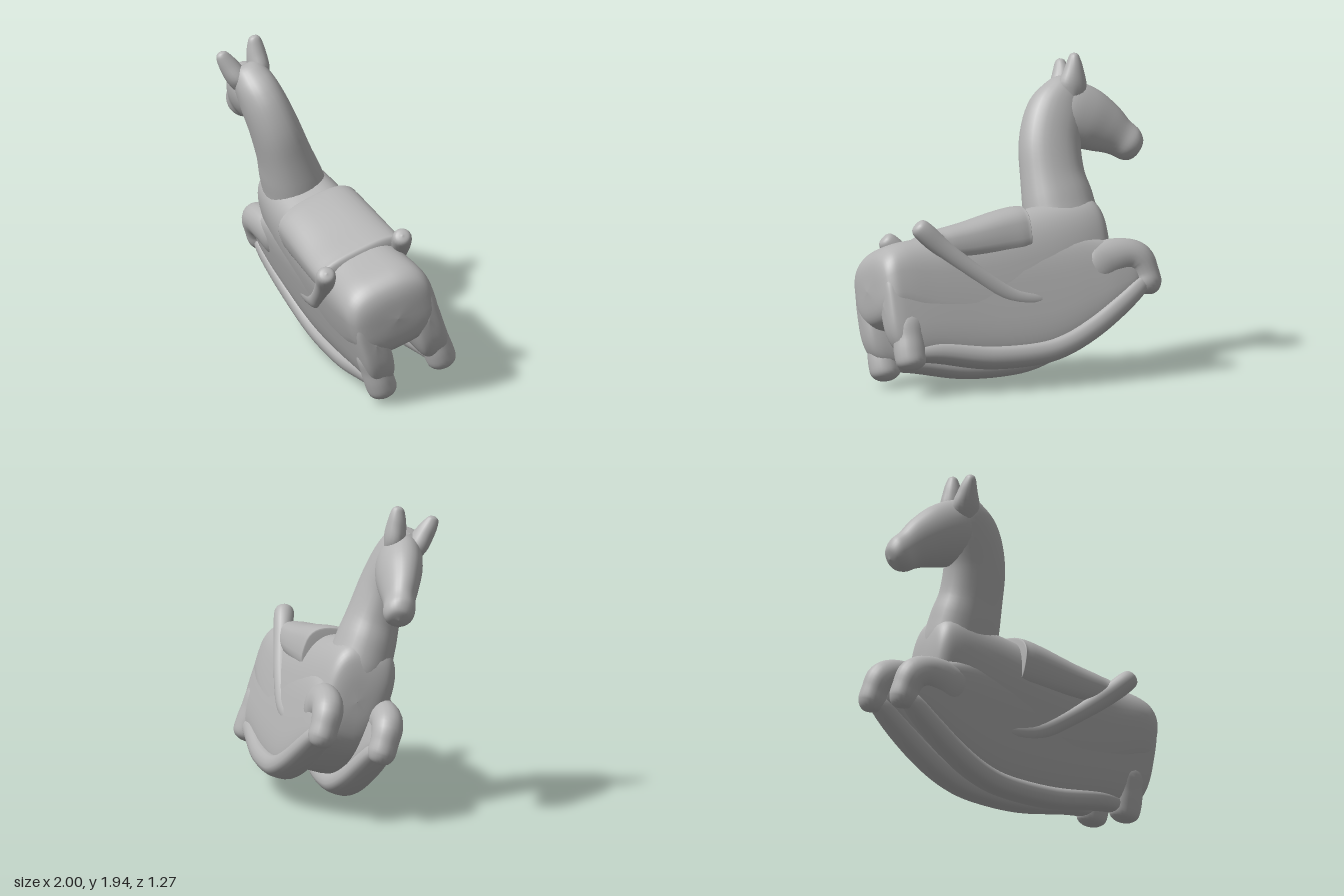
import * as THREE from 'three';

const clay = new THREE.MeshStandardMaterial({ color: 0xb4b4b4 });
clay.name = 'grey clay';

// Smooth skin over sections [x, y, z, halfDepth, halfWidth]; tilt fixes the depth axis angle.
function loft(name, rows, { power = 2, tilt = null, sides = 28, steps = 5 } = {}) {
  const path = new THREE.CatmullRomCurve3(
    rows.map(r => new THREE.Vector3(r[0], r[1], r[2])), false, 'catmullrom', 0.5);
  const size = new THREE.CatmullRomCurve3(
    rows.map(r => new THREE.Vector3(r[3], r[4], 0)), false, 'catmullrom', 0.5);
  const n = (rows.length - 1) * steps;
  const pos = [], index = [];
  const bend = v => Math.sign(v) * Math.pow(Math.abs(v), 2 / power);
  for (let i = 0; i <= n; i++) {
    const c = path.getPoint(i / n), s = size.getPoint(i / n), d = path.getTangent(i / n);
    const angle = tilt ?? Math.atan2(d.y, d.x) + Math.PI / 2;
    const a = Math.max(s.x, 0.001), b = Math.max(s.y, 0.001);
    for (let j = 0; j < sides; j++) {
      const t = (j / sides) * Math.PI * 2, u = a * bend(Math.cos(t));
      pos.push(c.x + u * Math.cos(angle), c.y + u * Math.sin(angle), c.z + b * bend(Math.sin(t)));
      if (i < n) {
        const p = i * sides + j, q = i * sides + (j + 1) % sides;
        index.push(p, q, p + sides, q, q + sides, p + sides);
      }
    }
  }
  const g = new THREE.BufferGeometry();
  g.setAttribute('position', new THREE.Float32BufferAttribute(pos, 3));
  g.setIndex(index);
  g.computeVertexNormals();
  const mesh = new THREE.Mesh(g, clay);
  mesh.name = name;
  return mesh;
}

// Section for upright slabs: [x, bottom, top, halfWidth], set at side offset z
const slab = (z = 0) => ([x, bottom, top, w]) => [x, (bottom + top) / 2, z, (top - bottom) / 2, w];
const upright = Math.PI / 2;

export function createModel() {
  const horse = new THREE.Group();
  horse.name = 'rockingHorse';

  // Body
  horse.add(loft('body', [
    [-0.615, 0.70, 0.70, 0], [-0.605, 0.55, 0.88, 0.13], [-0.57, 0.43, 1.00, 0.195],
    [-0.48, 0.32, 1.05, 0.228], [-0.28, 0.19, 1.03, 0.255], [0.00, 0.11, 0.98, 0.27],
    [0.35, 0.12, 0.915, 0.28], [0.62, 0.20, 0.87, 0.29], [0.82, 0.31, 0.845, 0.295],
    [0.92, 0.35, 0.80, 0.28], [0.97, 0.42, 0.72, 0.21], [0.985, 0.57, 0.57, 0],
  ].map(slab()), { power: 3, tilt: upright, sides: 48 }));

  // Saddle blanket over the back
  horse.add(loft('saddle', [
    [-0.05, 0.80, 0.80, 0], [-0.045, 0.70, 0.99, 0.25], [-0.02, 0.66, 1.02, 0.275],
    [0.12, 0.65, 1.00, 0.282], [0.35, 0.65, 0.945, 0.292], [0.53, 0.66, 0.91, 0.296],
    [0.59, 0.67, 0.885, 0.282], [0.60, 0.78, 0.78, 0],
  ].map(slab()), { power: 2.8, tilt: upright, sides: 40 }));

  // Neck
  horse.add(loft('neck', [
    [-0.38, 0.58, 0, 0.06, 0.08], [-0.375, 0.80, 0, 0.22, 0.19], [-0.36, 1.02, 0, 0.225, 0.185],
    [-0.345, 1.20, 0, 0.202, 0.163], [-0.355, 1.40, 0, 0.195, 0.15], [-0.415, 1.58, 0, 0.182, 0.138],
    [-0.48, 1.70, 0, 0.13, 0.118], [-0.53, 1.77, 0, 0.07, 0.08], [-0.54, 1.785, 0, 0, 0],
  ], { power: 2.2 }));

  // Head from poll to muzzle
  horse.add(loft('head', [
    [-0.33, 1.66, 0, 0, 0], [-0.38, 1.64, 0, 0.11, 0.08], [-0.48, 1.60, 0, 0.19, 0.13],
    [-0.61, 1.54, 0, 0.197, 0.134], [-0.73, 1.47, 0, 0.165, 0.113], [-0.82, 1.405, 0, 0.125, 0.094],
    [-0.885, 1.355, 0, 0.11, 0.097], [-0.93, 1.325, 0, 0.07, 0.07], [-0.945, 1.315, 0, 0, 0],
  ]));

  for (const [side, s] of [['left', -1], ['right', 1]]) {
    // Sections listed without z share one side offset
    const flat = (z, rows) => rows.map(([x, y, a, b]) => [x, y, s * z, a, b]);

    // Flank running down from the body to the rocker, including both thighs
    horse.add(loft(side + 'Flank', [
      [-0.76, 0.54, 0.54, 0], [-0.74, 0.45, 0.63, 0.06], [-0.60, 0.33, 0.73, 0.08],
      [-0.40, 0.20, 0.78, 0.084], [-0.20, 0.11, 0.78, 0.086], [0.00, 0.07, 0.77, 0.088],
      [0.32, 0.07, 0.76, 0.092], [0.62, 0.10, 0.74, 0.10], [0.80, 0.11, 0.73, 0.102],
      [0.90, 0.16, 0.70, 0.098], [0.955, 0.27, 0.64, 0.075], [0.97, 0.45, 0.45, 0],
    ].map(slab(s * 0.186)), { power: 3, tilt: upright, sides: 36 }));

    horse.add(loft(side + 'Ear', [
      [-0.50, 1.64, s * 0.06, 0.05, 0.05], [-0.52, 1.73, s * 0.075, 0.09, 0.068],
      [-0.535, 1.83, s * 0.095, 0.062, 0.06], [-0.54, 1.90, s * 0.11, 0.036, 0.043],
      [-0.54, 1.925, s * 0.112, 0.022, 0.026], [-0.54, 1.934, s * 0.112, 0, 0],
    ], { sides: 18 }));

    // Folded front leg ending in a hoof
    horse.add(loft(side + 'FrontLeg', flat(0.197, [
      [-0.36, 0.54, 0, 0], [-0.44, 0.58, 0.13, 0.075], [-0.56, 0.63, 0.125, 0.09],
      [-0.68, 0.645, 0.108, 0.095], [-0.755, 0.61, 0.105, 0.095], [-0.79, 0.53, 0.09, 0.088],
      [-0.80, 0.46, 0.088, 0.086], [-0.805, 0.41, 0.055, 0.058], [-0.805, 0.395, 0, 0],
    ]), { sides: 20 }));

    // Rear foot below the thigh
    horse.add(loft(side + 'RearFoot', flat(0.208, [
      [0.82, 0.45, 0, 0], [0.83, 0.36, 0.10, 0.08], [0.835, 0.24, 0.10, 0.09],
      [0.84, 0.15, 0.10, 0.094], [0.84, 0.08, 0.09, 0.088], [0.84, 0.045, 0.05, 0.05],
      [0.84, 0.035, 0, 0],
    ]), { sides: 20 }));

    // Curved rocker
    horse.add(loft(side + 'Rocker', flat(0.195, [
      [-0.83, 0.50, 0.02, 0.02], [-0.75, 0.46, 0.055, 0.075], [-0.60, 0.35, 0.067, 0.092],
      [-0.40, 0.22, 0.07, 0.096], [-0.20, 0.125, 0.07, 0.098], [0.00, 0.082, 0.07, 0.098],
      [0.32, 0.082, 0.07, 0.098], [0.64, 0.135, 0.065, 0.09], [0.82, 0.14, 0.05, 0.07],
    ]), { sides: 20, power: 2.5 }));

    // Rod along the flank, rising to a peg behind the saddle
    horse.add(loft(side + 'Peg', [
      [-0.14, 0.42, s * 0.22, 0, 0], [-0.08, 0.41, s * 0.24, 0.045, 0.03],
      [0.14, 0.45, s * 0.25, 0.055, 0.036], [0.36, 0.60, s * 0.26, 0.055, 0.045],
      [0.56, 0.77, s * 0.265, 0.062, 0.053], [0.67, 0.88, s * 0.267, 0.063, 0.062],
      [0.71, 0.92, s * 0.267, 0.047, 0.047], [0.72, 0.93, s * 0.267, 0, 0],
    ], { sides: 18 }));
  }

  // The horse rests turned and leaning on one rocker
  horse.rotation.set(0.32, -0.42, 0, 'YXZ');

  // Centre and stand on the ground
  const model = new THREE.Group();
  model.name = 'model';
  model.add(horse);
  model.updateMatrixWorld(true);
  const box = new THREE.Box3().setFromObject(model, true);
  const mid = box.getCenter(new THREE.Vector3());
  horse.position.set(-mid.x, -box.min.y, -mid.z);
  return model;
}
